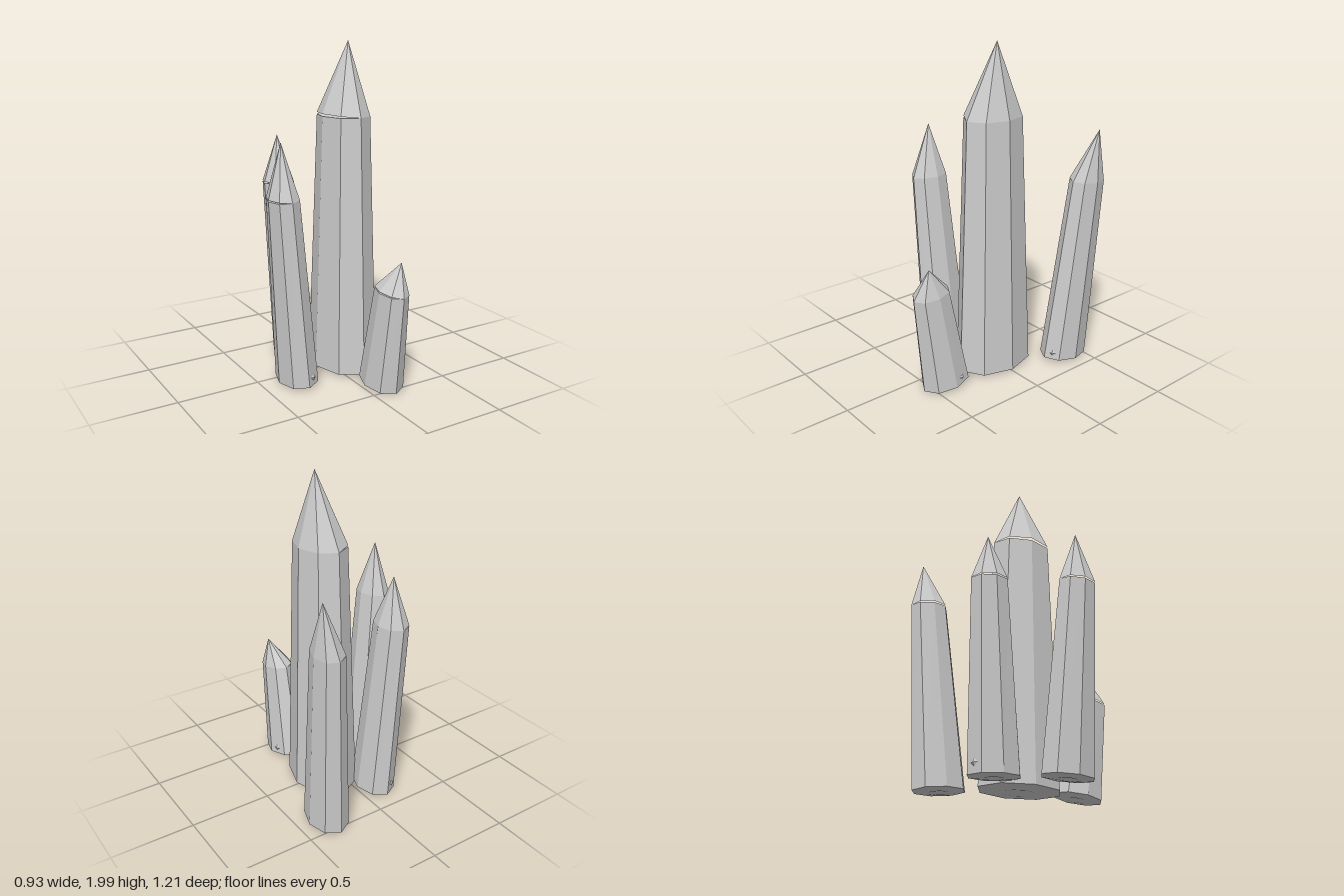
import * as THREE from 'three';

const SIDES = 8;

// One octagonal ring: centre [x, y, z], half widths rx and rz, height offset by a rule
function ring([x, y, z], rx, rz, lift = () => 0) {
  return Array.from({ length: SIDES }, (_, i) => {
    const a = (i / SIDES) * Math.PI * 2;
    const px = Math.cos(a) * rx, pz = Math.sin(a) * rz;
    return [x + px, y + lift(px, pz), z + pz];
  });
}

// Skin a stack of rings, bottom to top
function loft(rings, material, name) {
  const p = [];
  for (let k = 0; k + 1 < rings.length; k++) {
    for (let i = 0; i < SIDES; i++) {
      const j = (i + 1) % SIDES, lo = rings[k], hi = rings[k + 1];
      p.push(...lo[i], ...hi[i], ...lo[j], ...lo[j], ...hi[i], ...hi[j]);
    }
  }
  const g = new THREE.BufferGeometry();
  g.setAttribute('position', new THREE.Float32BufferAttribute(p, 3));
  g.computeVertexNormals();
  const mesh = new THREE.Mesh(g, material);
  mesh.name = name;
  return mesh;
}

// base and rim are [x, y, z, rx, rz]; chip is the angle of the small bump near the foot
const CRYSTALS = [
  { name: 'mainCrystal', base: [0.092, 0.02, 0, 0.19, 0.257], rim: [0.092, 1.57, 0.005, 0.142, 0.192], tip: [0.123, 2, 0.005] },
  { name: 'leftCrystal', base: [-0.283, 0.025, 0.09, 0.118, 0.16], rim: [-0.377, 1.14, 0.122, 0.09, 0.117], tip: [-0.383, 1.46, 0.115], chip: 67.5 },
  { name: 'backLeftCrystal', base: [-0.118, 0.025, -0.26, 0.116, 0.156], rim: [-0.168, 1.14, -0.335, 0.094, 0.116], tip: [-0.165, 1.43, -0.35], chip: 247.5 },
  { name: 'backRightCrystal', base: [0.32, 0.025, -0.39, 0.118, 0.16], rim: [0.373, 1.165, -0.49, 0.088, 0.116], tip: [0.425, 1.475, -0.525], chip: 67.5 },
  { name: 'frontCrystal', base: [0.12, 0.027, 0.395, 0.116, 0.156], rim: [0.12, 0.62, 0.487, 0.086, 0.12], tip: [0.157, 0.79, 0.525], chip: -22.5 },
];

function crystal({ name, base, rim, tip, chip }, material) {
  const group = new THREE.Group();
  group.name = name;
  const [bx, by, bz, brx, brz] = base;
  const [tx, ty, tz, trx, trz] = rim;
  const leanX = (tx - bx) / (ty - by), leanZ = (tz - bz) / (ty - by);

  // Rings stay square to the leaning axis; the tip lifts off slightly on one side
  const tilt = (px, pz) => -0.75 * (leanX * px + leanZ * pz);
  const lifted = (px, pz) => tilt(px, pz) + Math.max(0, -px) * 0.1;

  // Shaft, closed on top so that the gap under the tip shows stone
  const foot = ring([bx, by, bz], brx, brz, tilt);
  const shaftTop = ring([tx, ty, tz], trx, trz, tilt);
  group.add(loft([foot, shaftTop, ring([tx, ty, tz], 0, 0)], material, 'shaft'));
  group.add(loft([ring([tx, ty, tz], trx, trz, lifted), ring(tip, 0, 0)], material, 'point'));

  // Underside with a shallow raised ring and a recessed middle
  group.add(loft([
    ring([bx, by, bz], 0, 0),
    ring([bx, by - 0.01, bz], brx * 0.4, brz * 0.4, tilt),
    foot,
  ], material, 'underside'));

  // Tiny faceted chip on one face near the foot
  if (chip !== undefined) {
    const a = THREE.MathUtils.degToRad(chip), k = Math.cos(Math.PI / SIDES);
    const bump = new THREE.Mesh(new THREE.OctahedronGeometry(0.024), material);
    bump.name = 'chip';
    bump.scale.set(1, 0.9, 0.4);
    bump.position.set(
      bx + leanX * 0.05 + Math.cos(a) * brx * k, 0.075,
      bz + leanZ * 0.05 + Math.sin(a) * brz * k);
    bump.rotation.y = Math.PI / 2 - a;
    group.add(bump);
  }
  return group;
}

export function createModel() {
  const model = new THREE.Group();
  model.name = 'crystalCluster';
  const stone = new THREE.MeshStandardMaterial({ color: 0xcccccc });
  stone.name = 'greyCrystal';
  stone.flatShading = true;
  for (const c of CRYSTALS) model.add(crystal(c, stone));
  return model;
}
